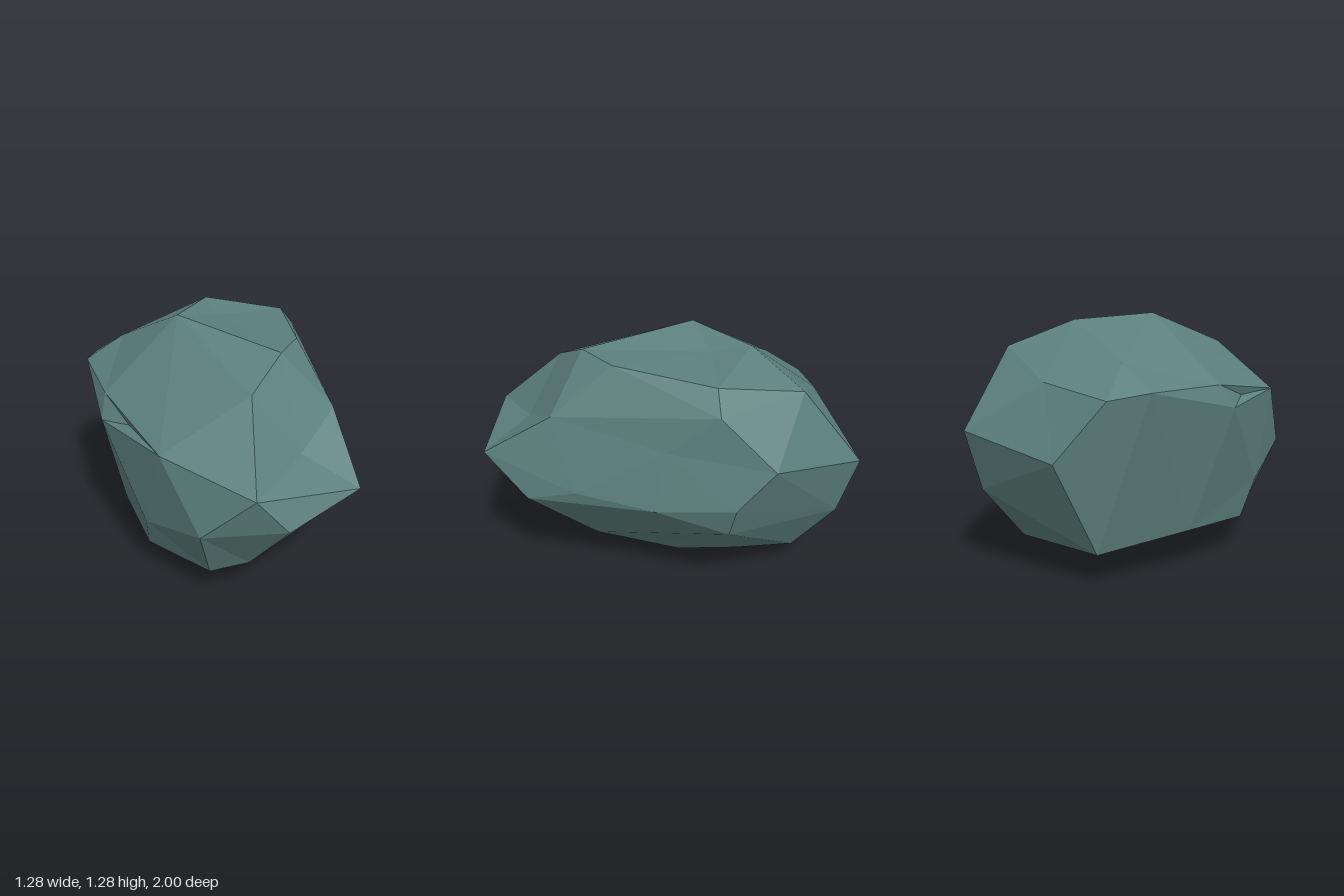
import * as THREE from 'three';
import { ConvexGeometry } from 'three/addons/geometries/ConvexGeometry.js';

// Corner points of the boulder, grouped by side
const crown = [
  [-0.155, 1.285, -0.06], [0.28, 1.24, 0.40], [0.41, 1.225, 0.20], [0.465, 1.19, -0.325],
  [0.05, 1.25, -0.41], [0.095, 1.215, -0.215], [0.235, 1.115, -0.70], [0.097, 1.13, 0.60],
];
const frontSide = [
  [0.56, 0.745, 0.855], [0.045, 0.812, 0.98], [0.195, 0.645, 0.997], [0.317, 0.86, 0.70],
  [0.08, 0.28, 0.74], [-0.11, 0.212, 0.695], [-0.18, 0.54, 0.84], [-0.335, 0.87, 0.63],
];
const plusXSide = [
  [0.55, 1.08, -0.36], [0.53, 0.975, 0.485], [0.56, 0.84, -0.63], [0.615, 0.635, -0.46],
  [0.637, 0.585, -0.07], [0.635, 0.625, 0.34], [0.615, 0.54, 0.61], [0.57, 0.47, -0.42],
  [0.575, 0.88, -0.11],
];
const minusXSide = [
  [-0.40, 0.385, 0.46], [-0.45, 0.86, 0.30], [-0.583, 0.815, 0.14], [-0.555, 0.93, 0.06],
  [-0.64, 0.92, -0.41], [-0.43, 1.045, -0.43], [-0.575, 0.89, -0.605],
];
const backSide = [
  [0.11, 0.71, -1.0], [0.12, 0.405, -0.91], [-0.43, 0.605, -0.80], [-0.20, 0.955, -0.72],
];
const underside = [
  [0.14, 0.003, -0.06], [0.15, 0.045, 0.23], [0.37, 0.21, 0.34], [0.24, 0.15, -0.41],
  [0.11, 0.135, -0.695], [-0.465, 0.16, -0.595], [-0.48, 0.195, -0.06], [-0.385, 0.18, 0.37],
];

// Skin the points with triangles. They are first eased toward a sphere so that
// shallow dents stay on the hull, then every corner is moved back to its place.
function facetedSkin(points) {
  const centre = new THREE.Vector3(0, 0.645, 0);
  const radii = new THREE.Vector3(0.64, 0.64, 1);
  const ease = 0.6;
  const eased = points.map((p) => {
    const d = new THREE.Vector3(...p).sub(centre).divide(radii);
    return d.multiplyScalar(Math.pow(d.length(), -ease));
  });
  const geometry = new ConvexGeometry(eased);
  const position = geometry.attributes.position;
  const v = new THREE.Vector3();
  for (let i = 0; i < position.count; i++) {
    v.fromBufferAttribute(position, i);
    v.multiplyScalar(Math.pow(v.length(), ease / (1 - ease))).multiply(radii).add(centre);
    position.setXYZ(i, v.x, v.y, v.z);
  }
  geometry.computeVertexNormals();
  return geometry;
}

export function createModel() {
  const group = new THREE.Group();
  group.name = 'rock';

  const stone = new THREE.MeshStandardMaterial({ color: 0x5c807c, flatShading: true });
  stone.name = 'greenGreyStone';

  // Single faceted boulder
  const boulder = new THREE.Mesh(
    facetedSkin([...crown, ...frontSide, ...plusXSide, ...minusXSide, ...backSide, ...underside]),
    stone,
  );
  boulder.name = 'boulder';
  group.add(boulder);
  return group;
}
